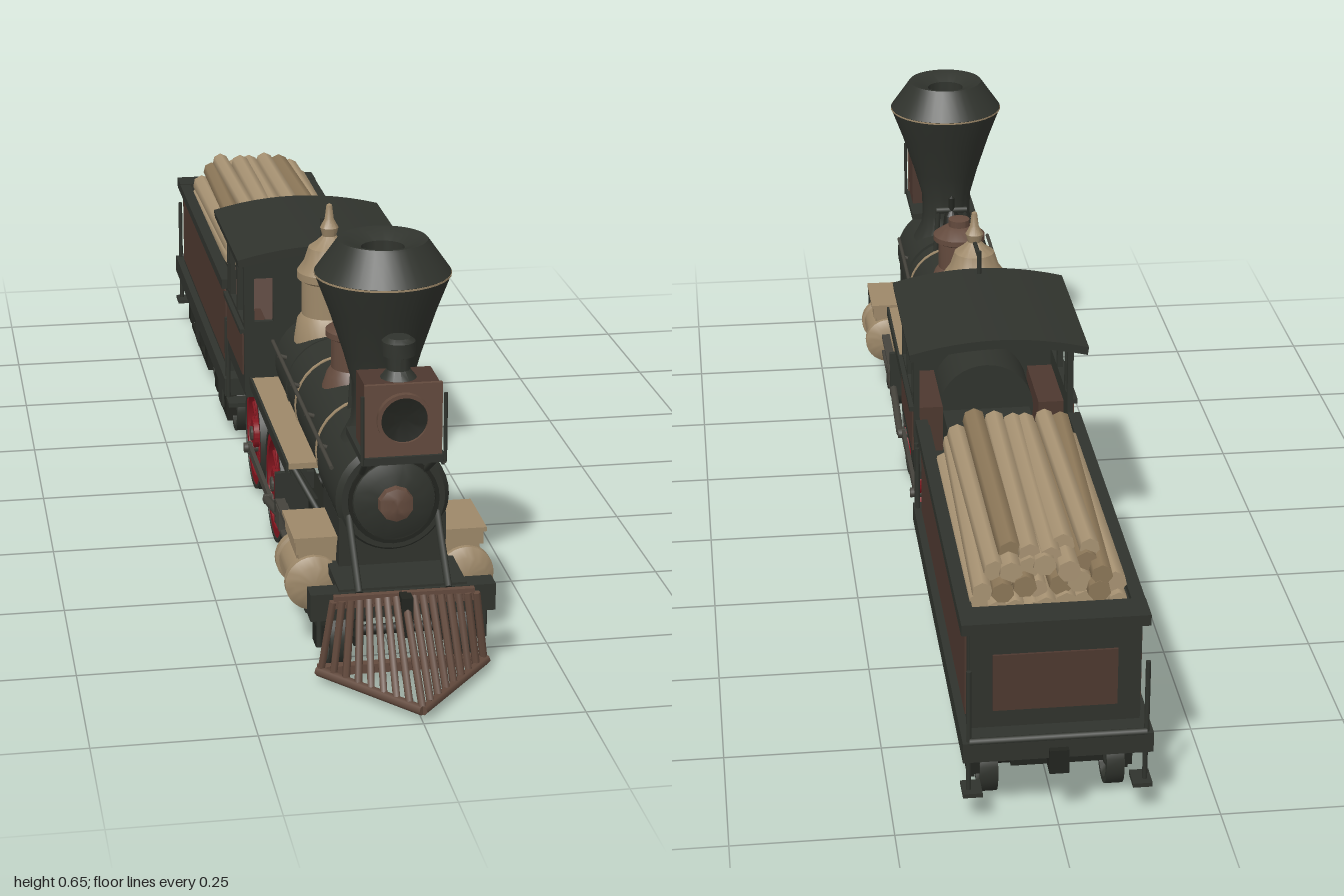
import * as THREE from 'three';
import { toCreasedNormals } from 'three/addons/utils/BufferGeometryUtils.js';

const mat = (name, color, side = THREE.FrontSide) => {
  const m = new THREE.MeshStandardMaterial({ color, side });
  m.name = name;
  return m;
};

export function createModel() {
  const black = mat('black iron', 0x30332d, THREE.DoubleSide);
  const dark = mat('sooty black', 0x22241f);
  const steel = mat('dull steel', 0x45433c);
  const brown = mat('brown paint', 0x4d382f);
  const rust = mat('rusty brown', 0x634a3d);
  const tan = mat('tan brass', 0x9d8869);
  const red = mat('red wheel', 0x85161f);
  const wood = mat('light wood', 0xa99474);
  const wood2 = mat('weathered wood', 0x8d7859);
  const model = new THREE.Group();
  model.name = 'steamLocomotive';

  // helpers
  const add = (name, g, m, x = 0, y = 0, z = 0) => {
    const mesh = new THREE.Mesh(g, m);
    mesh.name = name;
    mesh.position.set(x, y, z);
    model.add(mesh);
    return mesh;
  };
  const box = (name, m, x, y, z, w, h, d) => add(name, new THREE.BoxGeometry(w, h, d), m, x, y, z);
  // box given by its limits
  const span = (name, m, x0, x1, y0, y1, z0, z1) =>
    box(name, m, (x0 + x1) / 2, (y0 + y1) / 2, (z0 + z1) / 2, Math.abs(x1 - x0), y1 - y0, Math.abs(z1 - z0));
  const lathe = (name, m, pts, x, y, z, axis = 'y', seg = 28) => {
    let g = new THREE.LatheGeometry(pts.map(p => new THREE.Vector2(...p)), seg);
    if (axis === 'z') g.rotateX(Math.PI / 2);
    if (axis === 'x') g.rotateZ(-Math.PI / 2);
    return add(name, toCreasedNormals(g, 0.6), m, x, y, z);
  };
  const rod = (name, m, a, b, r = 0.004, seg = 8) => {
    const A = new THREE.Vector3(...a), B = new THREE.Vector3(...b), d = B.clone().sub(A);
    const mesh = add(name, new THREE.CylinderGeometry(r, r, d.length(), seg), m);
    mesh.position.copy(A).add(B).multiplyScalar(0.5);
    mesh.quaternion.setFromUnitVectors(new THREE.Vector3(0, 1, 0), d.normalize());
    return mesh;
  };
  const sides = f => [1, -1].forEach(f);
  const poly = pts => new THREE.Shape(pts.map(p => new THREE.Vector2(...p)));
  const hole = (s, x0, x1, y0, y1) => s.holes.push(poly([[x0, y0], [x0, y1], [x1, y1], [x1, y0]]));
  const extrude = (s, depth) => new THREE.ExtrudeGeometry(s, { depth, bevelEnabled: false, curveSegments: 12 });
  const ring = (ri, ro, h) => [[ri, -h], [ro, -h], [ro, h], [ri, h], [ri, -h]];

  // boiler and smokebox
  lathe('boiler', black, [[0, -0.05], [0.085, -0.05], [0.085, 0.56], [0.09, 0.56], [0.09, 0.735], [0.082, 0.745], [0, 0.745]], 0, 0.27, 0, 'z', 36);
  lathe('smokeboxDoor', black, [[0.066, 0], [0.064, 0.008], [0.045, 0.016], [0, 0.02]], 0, 0.27, 0.743, 'z');
  lathe('doorCap', rust, [[0.029, 0], [0.027, 0.016], [0.012, 0.022], [0, 0.023]], 0, 0.27, 0.757, 'z', 10);
  lathe('doorRim', dark, ring(0.066, 0.072, 0.006), 0, 0.27, 0.745, 'z');
  [0.52, 0.3, 0.2].forEach(z => lathe('boilerBand', z === 0.2 ? black : tan, ring(0.082, 0.087, 0.004), 0, 0.27, z, 'z'));
  span('saddle', black, -0.085, 0.085, 0.13, 0.24, 0.59, 0.74);
  span('firebox', black, -0.078, 0.078, 0.11, 0.27, -0.14, 0.1);

  // smokestack
  lathe('smokestack', black, [[0.065, 0.335], [0.05, 0.365], [0.047, 0.39], [0.048, 0.43], [0.062, 0.48], [0.085, 0.55],
    [0.104, 0.6], [0.107, 0.61], [0.073, 0.658], [0.07, 0.662], [0.058, 0.66], [0.034, 0.648], [0.034, 0.58], [0, 0.58]], 0, 0, 0.64, 'y', 36);
  lathe('stackBand', tan, ring(0.102, 0.1075, 0.0015), 0, 0.608, 0.64, 'y', 36);

  // headlamp on its bracket
  span('lampBody', brown, -0.058, 0.058, 0.372, 0.482, 0.735, 0.815);
  span('lampFace', rust, -0.06, 0.06, 0.37, 0.485, 0.813, 0.82);
  lathe('lampRim', rust, ring(0.036, 0.042, 0.008), 0, 0.43, 0.822, 'z');
  lathe('lampReflector', dark, [[0.037, 0.004], [0.02, 0.001], [0, 0]], 0, 0.43, 0.821, 'z');
  lathe('lampChimney', black, [[0.03, 0.48], [0.018, 0.495], [0.018, 0.515], [0.026, 0.518], [0.026, 0.54], [0.018, 0.546], [0, 0.546]], 0, 0, 0.775, 'y', 14);
  span('lampShelf', black, -0.064, 0.064, 0.358, 0.37, 0.68, 0.825);
  sides(s => {
    rod('lampBracket', black, [s * 0.055, 0.36, 0.81], [s * 0.05, 0.31, 0.735], 0.005);
    rod('lampPost', black, [s * 0.064, 0.36, 0.825], [s * 0.064, 0.47, 0.825], 0.003);
  });

  // bell
  sides(s => rod('bellFrame', black, [s * 0.032, 0.34, 0.535], [s * 0.026, 0.43, 0.535], 0.005));
  rod('bellYoke', black, [-0.03, 0.43, 0.535], [0.03, 0.43, 0.535], 0.006);
  lathe('bell', dark, [[0.024, 0.375], [0.018, 0.39], [0.014, 0.42], [0.006, 0.43], [0.006, 0.455], [0, 0.46]], 0, 0, 0.535, 'y', 16);

  // domes
  lathe('sandDome', rust, [[0.055, 0.335], [0.047, 0.36], [0.04, 0.37], [0.04, 0.42], [0.049, 0.425], [0.049, 0.435],
    [0.03, 0.448], [0.02, 0.452], [0.02, 0.465], [0, 0.468]], 0, 0, 0.395);
  lathe('steamDome', tan, [[0.062, 0.33], [0.056, 0.37], [0.048, 0.38], [0.048, 0.44], [0.056, 0.445], [0.056, 0.458], [0.044, 0.475],
    [0.036, 0.5], [0.022, 0.51], [0.012, 0.52], [0.016, 0.535], [0.008, 0.55], [0.005, 0.575], [0, 0.578]], 0, 0, 0.135);
  rod('whistlePipe', black, [0, 0.52, 0.135], [0, 0.52, 0.06]);
  rod('whistleStem', black, [0, 0.48, 0.06], [0, 0.53, 0.06]);

  // frame, deck and bumper
  sides(s => {
    span('mainFrame', dark, s * 0.055, s * 0.08, 0.1, 0.16, -0.17, 0.82);
    span('lowerBar', dark, s * 0.06, s * 0.075, 0.06, 0.075, -0.24, 0.82);
    span('runningBoard', tan, s * 0.075, s * 0.128, 0.233, 0.243, 0.07, 0.5);
    span('boardEdge', black, s * 0.128, s * 0.132, 0.226, 0.245, 0.07, 0.5);
    rod('handrail', steel, [s * 0.09, 0.31, 0.07], [s * 0.09, 0.31, 0.7], 0.0035);
    [0.15, 0.3, 0.45, 0.6].forEach(z => {
      rod('boardBracket', black, [s * 0.07, 0.15, z], [s * 0.12, 0.235, Math.min(z, 0.49)], 0.005);
      rod('railPost', steel, [s * 0.078, 0.305, z], [s * 0.092, 0.31, z]);
    });
    rod('frontBrace', black, [s * 0.07, 0.25, 0.735], [s * 0.07, 0.155, 0.835], 0.006);
    rod('flagPost', black, [s * 0.13, 0.065, 0.825], [s * 0.13, 0.12, 0.825]);
    lathe('injector', black, [[0, -0.03], [0.014, -0.03], [0.014, 0.03], [0, 0.03]], s * 0.1, 0.2, 0.4, 'z', 12);
  });
  span('frontDeck', black, -0.1, 0.1, 0.145, 0.16, 0.56, 0.83);
  span('bumperBeam', black, -0.145, 0.145, 0.112, 0.156, 0.8, 0.835);
  span('bumperPlate', rust, -0.11, 0.11, 0.135, 0.155, 0.835, 0.845);
  [0.5, 0.36, 0.13, -0.14].forEach(z => span('crossTie', dark, -0.08, 0.08, 0.1, 0.13, z - 0.015, z + 0.015));

  // cowcatcher
  const tipZ = x => 0.99 - Math.abs(x) / 0.13 * 0.16;
  for (let i = -8; i <= 8; i++) {
    const t = i / 8;
    rod('cowcatcherBar', rust, [t * 0.112, 0.148, 0.845], [t * 0.128, 0.03, tipZ(t * 0.128)], 0.0062, 6);
  }
  sides(s => rod('cowcatcherSill', rust, [0, 0.027, 0.992], [s * 0.133, 0.027, 0.83], 0.008, 6));
  span('cowcatcherBack', rust, -0.133, 0.133, 0.02, 0.035, 0.822, 0.837);
  span('coupler', dark, -0.009, 0.009, 0.09, 0.155, 0.84, 0.868);

  // cylinders, valve chests and rods
  sides(s => {
    lathe('cylinder', tan, [[0, -0.068], [0.03, -0.068], [0.045, -0.058], [0.045, -0.044], [0.04, -0.042], [0.04, 0.042],
      [0.045, 0.044], [0.045, 0.058], [0.03, 0.068], [0, 0.068]], s * 0.122, 0.127, 0.665, 'z');
    span('cylinderBlock', tan, s * 0.075, s * 0.145, 0.13, 0.18, 0.615, 0.715);
    span('valveChest', tan, s * 0.085, s * 0.15, 0.175, 0.198, 0.61, 0.72);
    span('chestLid', tan, s * 0.082, s * 0.154, 0.198, 0.205, 0.604, 0.726);
    rod('pistonRod', steel, [s * 0.128, 0.125, 0.6], [s * 0.128, 0.125, 0.43], 0.005);
    [0.108, 0.142].forEach(y => span('slideBar', steel, s * 0.12, s * 0.136, y - 0.003, y + 0.003, 0.4, 0.6));
    span('crosshead', steel, s * 0.118, s * 0.138, 0.108, 0.142, 0.42, 0.46);
    span('slideHanger', black, s * 0.07, s * 0.136, 0.1, 0.19, 0.395, 0.405);
    rod('mainRod', steel, [s * 0.13, 0.125, 0.44], [s * 0.13, 0.085, 0.255], 0.007);
    span('sideRod', steel, s * 0.12, s * 0.127, 0.077, 0.093, -0.01, 0.265);
  });

  // driving wheels
  [0.255, 0].forEach(z => {
    rod('driveAxle', dark, [-0.1, 0.112, z], [0.1, 0.112, z], 0.014, 12);
    sides(s => {
      const x = s * 0.104, y = 0.112;
      lathe('driveTyre', black, [[0.094, -0.013], [0.101, -0.013], [0.103, 0.013], [0.094, 0.013], [0.094, -0.013]], x, y, z, 'x', 36);
      lathe('driveRim', red, ring(0.077, 0.0945, 0.0115), x, y, z, 'x', 36);
      lathe('driveHub', red, [[0, -0.014], [0.026, -0.014], [0.026, 0.014], [0, 0.014]], x, y, z, 'x', 20);
      lathe('hubCap', steel, [[0, -0.018], [0.013, -0.018], [0.013, 0.018], [0, 0.018]], x, y, z, 'x', 14);
      for (let i = 0; i < 14; i++) {
        const a = i / 14 * Math.PI * 2;
        rod('driveSpoke', red, [x, y, z], [x, y + 0.08 * Math.sin(a), z + 0.08 * Math.cos(a)], 0.0055, 6);
      }
      rod('crankPin', steel, [s * 0.1, 0.085, z], [s * 0.134, 0.085, z], 0.009, 12);
      span('wheelSpring', dark, s * 0.06, s * 0.085, 0.19, 0.215, z - 0.06, z + 0.06);
    });
  });

  // small wheels on trucks
  const axle = (z, r, x) => {
    rod('truckAxle', dark, [-x, r + 0.01, z], [x, r + 0.01, z], 0.009);
    sides(s => {
      lathe('truckWheel', black, [[0, -0.01], [0.018, -0.012], [0.03, -0.004], [r - 0.012, -0.004], [r - 0.01, -0.014], [r, -0.014],
        [r, 0.014], [r - 0.01, 0.014], [r - 0.012, 0.004], [0.03, 0.004], [0.018, 0.012], [0, 0.014]], s * x, r + 0.01, z, 'x', 24);
      box('axleBox', dark, s * (x + 0.02), r + 0.012, z, 0.022, 0.036, 0.036);
    });
  };
  [0.77, 0.565].forEach(z => axle(z, 0.053, 0.098));
  sides(s => span('leadTruckBar', dark, s * 0.07, s * 0.082, 0.07, 0.09, 0.54, 0.8));
  span('leadTruckBolster', dark, -0.08, 0.08, 0.06, 0.12, 0.64, 0.69);
  const tenderAxles = [-0.3, -0.44, -0.6, -0.72, -0.88];
  tenderAxles.forEach(z => axle(z, 0.05, 0.098));
  [[-0.26, -0.48], [-0.56, -0.92]].forEach(([a, b]) => {
    const mid = (a + b) / 2;
    sides(s => {
      span('tenderTruckBar', dark, s * 0.115, s * 0.128, 0.083, 0.097, b, a);
      span('tenderTruckTie', dark, s * 0.115, s * 0.125, 0.028, 0.038, b + 0.04, a - 0.04);
      span('truckSpring', black, s * 0.112, s * 0.13, 0.04, 0.085, mid - 0.025, mid + 0.025);
    });
    span('truckBolster', dark, -0.12, 0.12, 0.06, 0.12, mid - 0.025, mid + 0.025);
  });

  // cab walls with windows
  sides(s => {
    const wall = poly([[-0.165, 0.215], [0.065, 0.215], [0.065, 0.462], [-0.165, 0.462]]);
    hole(wall, -0.15, -0.135, 0.34, 0.44);
    hole(wall, -0.122, -0.04, 0.34, 0.44);
    hole(wall, -0.025, 0.05, 0.34, 0.44);
    add('cabSide', extrude(wall, 0.01).rotateY(-Math.PI / 2), black, s > 0 ? 0.14 : -0.13, 0, 0);
    span('cabPanel', brown, s * 0.139, s * 0.143, 0.245, 0.32, -0.155, 0.055);
    span('cabSill', black, s * 0.138, s * 0.148, 0.325, 0.333, -0.165, 0.065);
    span('cabSeat', brown, s * 0.085, s * 0.13, 0.225, 0.31, -0.12, 0.04);
    rod('cabGrab', black, [s * 0.138, 0.12, -0.18], [s * 0.138, 0.27, -0.18]);
    span('cabStep', black, s * 0.1, s * 0.14, 0.105, 0.113, -0.2, -0.16);
  });
  const front = poly([[-0.135, 0.22], [0.135, 0.22], [0.135, 0.455], [0, 0.475], [-0.135, 0.455]]);
  sides(s => hole(front, s > 0 ? 0.088 : -0.122, s > 0 ? 0.122 : -0.088, 0.345, 0.425));
  add('cabFront', extrude(front, 0.01), black, 0, 0, 0.053);
  span('cabFloor', black, -0.138, 0.138, 0.205, 0.22, -0.19, 0.065);
  const roof = new THREE.Shape();
  roof.moveTo(-0.152, 0.452);
  roof.quadraticCurveTo(0, 0.49, 0.152, 0.452);
  roof.lineTo(0.154, 0.466);
  roof.quadraticCurveTo(0, 0.508, -0.154, 0.466);
  add('cabRoof', toCreasedNormals(extrude(roof, 0.33), 0.5), black, 0, 0, -0.245);

  // tender deck and tank
  span('tenderDeck', black, -0.145, 0.145, 0.122, 0.155, -0.99, -0.18);
  span('drawbar', dark, -0.025, 0.025, 0.09, 0.12, -0.25, -0.12);
  span('tenderSill', dark, -0.07, 0.07, 0.1, 0.125, -0.97, -0.22);
  sides(s => {
    span('tankSide', black, s * 0.118, s * 0.132, 0.155, 0.325, -0.94, -0.225);
    span('tankPanel', brown, s * 0.131, s * 0.135, 0.168, 0.308, -0.925, -0.24);
    span('tankRim', black, s * 0.122, s * 0.143, 0.318, 0.336, -0.95, -0.225);
    rod('tenderPost', black, [s * 0.135, 0.15, -0.982], [s * 0.135, 0.275, -0.982]);
    rod('tenderFrontPost', black, [s * 0.138, 0.15, -0.2], [s * 0.138, 0.27, -0.2]);
    span('tenderStep', black, s * 0.115, s * 0.145, 0.06, 0.067, -0.99, -0.95);
    rod('stepHanger', black, [s * 0.135, 0.06, -0.975], [s * 0.135, 0.13, -0.975]);
  });
  span('tankBack', black, -0.13, 0.13, 0.155, 0.33, -0.945, -0.89);
  span('backPanel', brown, -0.095, 0.095, 0.185, 0.28, -0.949, -0.944);
  span('backRim', black, -0.143, 0.143, 0.32, 0.338, -0.955, -0.9);
  span('tankFloor', dark, -0.12, 0.12, 0.155, 0.31, -0.9, -0.36);
  const slope = box('tankSlope', brown, 0, 0.265, -0.3, 0.236, 0.012, 0.17);
  slope.rotation.x = 0.55;
  span('tankFront', brown, -0.12, 0.12, 0.155, 0.22, -0.25, -0.235);
  rod('rearRail', black, [-0.135, 0.155, -0.985], [0.135, 0.155, -0.985], 0.006);
  span('rearCoupler', dark, -0.015, 0.015, 0.1, 0.14, -1.0, -0.97);

  // stacked logs
  let seed = 7;
  const rnd = () => (seed = (seed * 16807) % 2147483647) / 2147483647;
  [[9, 0.322, 0.104], [8, 0.352, 0.1], [7, 0.38, 0.084], [5, 0.4, 0.06]].forEach(([n, y, w], row) => {
    for (let i = 0; i < n; i++) {
      const x = (i / (n - 1) * 2 - 1) * w, r = 0.015 + rnd() * 0.004;
      const j = () => (rnd() - 0.5) * 0.012;
      const z0 = -0.36 - rnd() * 0.03, z1 = -0.885 + rnd() * 0.03 + (row === 3 ? 0.03 : 0);
      rod('log', rnd() < 0.7 ? wood : wood2, [x + j(), y + 0.004 + j(), z0], [x + j(), y - 0.004 + j(), z1], r, 7);
    }
  });
  return model;
}
